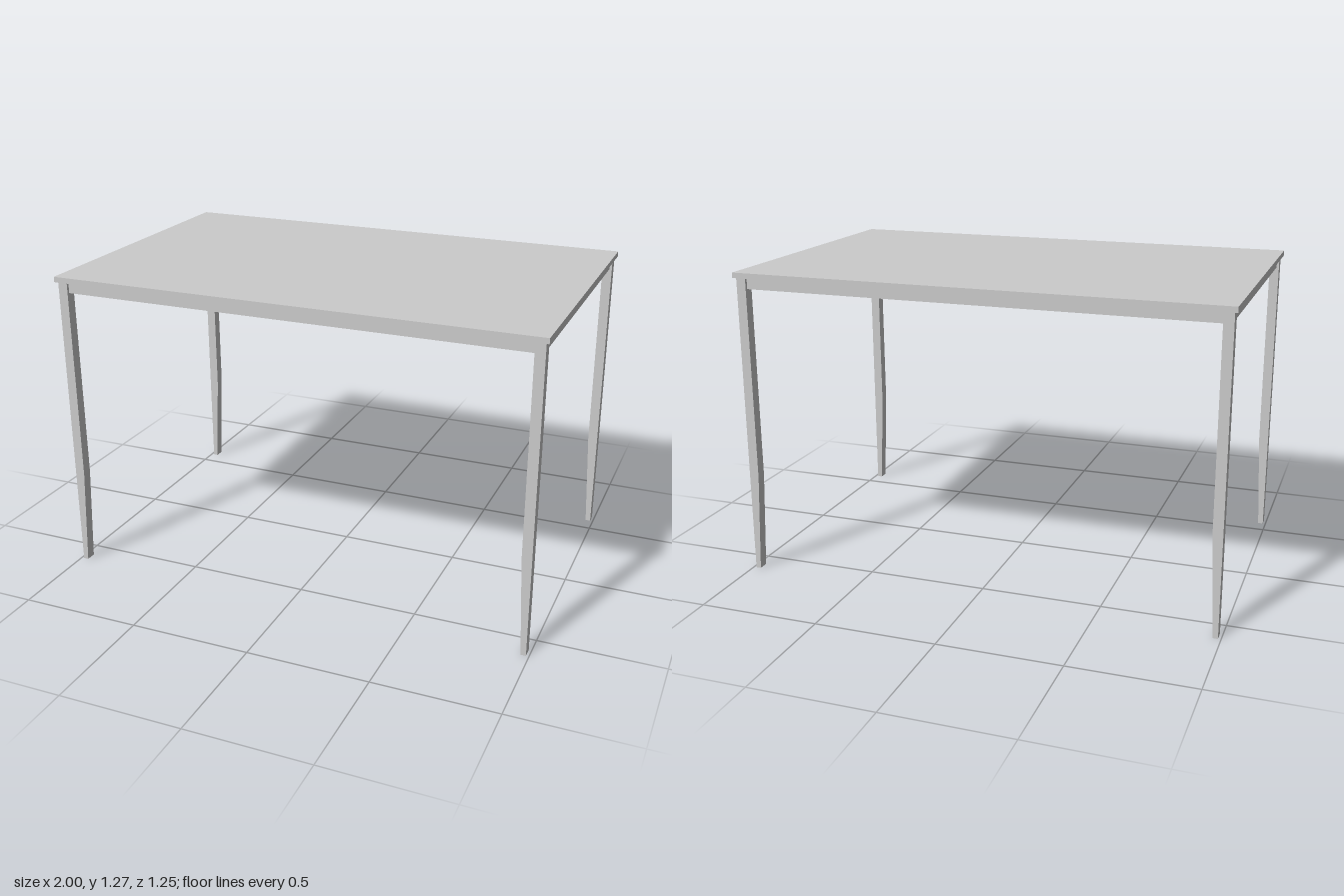
import * as THREE from 'three';

export function createModel() {
  const table = new THREE.Group();
  table.name = 'table';
  const material = new THREE.MeshStandardMaterial({ color: 0xcccccc, flatShading: true });

  const add = (name, geometry, x, y, z) => {
    const mesh = new THREE.Mesh(geometry, material);
    mesh.name = name;
    mesh.position.set(x, y, z);
    table.add(mesh);
    return mesh;
  };

  // Sizes
  const topY = 1.272, underside = 1.25, railBottom = 1.205;
  const outerX = 0.988, innerX = 0.948, footX = 0.967;
  const outerZ = 0.618, innerZ = 0.575;
  const railThickness = 0.02;
  const railHeight = underside - railBottom, railY = (underside + railBottom) / 2;
  const legX = (outerX + innerX) / 2, legZ = (outerZ + innerZ) / 2;

  // Flat top
  add('tableTop', new THREE.BoxGeometry(2, topY - underside, 1.254), 0, (topY + underside) / 2, 0);

  // Legs: straight outside, inner face tapering towards the foot
  for (const side of [-1, 1]) {
    const profile = new THREE.Shape([
      [footX, 0], [outerX, 0], [outerX, underside], [innerX, underside], [innerX, 0.41],
    ].map(([x, y]) => new THREE.Vector2(side * x, y)));
    const geometry = new THREE.ExtrudeGeometry(profile, { depth: outerZ - innerZ, bevelEnabled: false });
    for (const end of [-1, 1]) {
      const name = (end > 0 ? 'front' : 'back') + (side > 0 ? 'Left' : 'Right') + 'Leg';
      add(name, geometry, 0, 0, end > 0 ? innerZ : -outerZ);
    }
  }

  // Apron rails between the legs
  for (const s of [-1, 1]) {
    add(s > 0 ? 'frontRail' : 'backRail',
      new THREE.BoxGeometry(innerX * 2, railHeight, railThickness), 0, railY, s * legZ);
    add(s > 0 ? 'leftRail' : 'rightRail',
      new THREE.BoxGeometry(railThickness, railHeight, innerZ * 2), s * legX, railY, 0);
  }

  return table;
}
